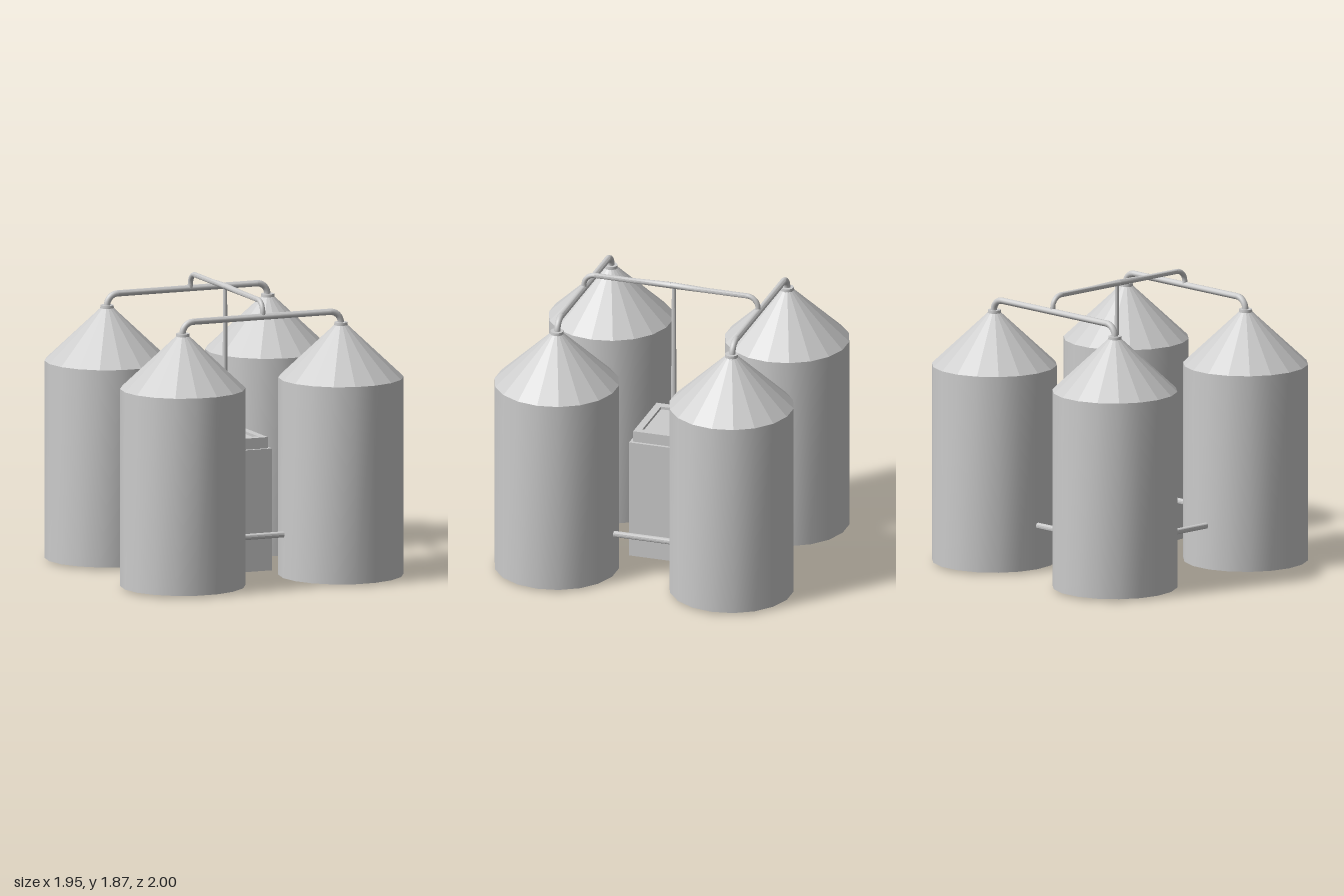
import * as THREE from 'three';
import { toCreasedNormals } from 'three/addons/utils/BufferGeometryUtils.js';

const smooth = new THREE.MeshStandardMaterial({ color: 0xcccccc });
const flat = new THREE.MeshStandardMaterial({ color: 0xcccccc, flatShading: true });

const V = (x, y, z) => new THREE.Vector3(x, y, z);

function add(parent, name, geometry, material = smooth) {
  const mesh = new THREE.Mesh(geometry, material);
  mesh.name = name;
  parent.add(mesh);
  return mesh;
}

// Box from its limits
function addBox(parent, name, x0, x1, y0, y1, z0, z1) {
  const g = new THREE.BoxGeometry(x1 - x0, y1 - y0, z1 - z0);
  add(parent, name, g).position.set((x0 + x1) / 2, (y0 + y1) / 2, (z0 + z1) / 2);
}

// Straight round bar between two points
function addBar(parent, name, a, b, r0, r1 = r0) {
  const g = toCreasedNormals(new THREE.CylinderGeometry(r1, r0, a.distanceTo(b), 12), 0.8);
  const mesh = add(parent, name, g);
  mesh.position.copy(a).add(b).multiplyScalar(0.5);
  mesh.quaternion.setFromUnitVectors(V(0, 1, 0), b.clone().sub(a).normalize());
}

// Bridge pipe: up from a, across with two rounded elbows, down to b
function addBridge(parent, name, a, b, y, bend, r) {
  const dir = b.clone().sub(a).setY(0).normalize();
  const topA = a.clone().setY(y), topB = b.clone().setY(y);
  const lowA = a.clone().setY(y - bend), lowB = b.clone().setY(y - bend);
  const inA = topA.clone().addScaledVector(dir, bend);
  const inB = topB.clone().addScaledVector(dir, -bend);
  const elbow = (p, corner, q) => new THREE.CubicBezierCurve3(
    p, p.clone().lerp(corner, 0.55), q.clone().lerp(corner, 0.55), q);
  const g = new THREE.Group();
  g.name = name;
  add(g, 'elbow', new THREE.TubeGeometry(elbow(lowA, topA, inA), 8, r, 12));
  add(g, 'elbow', new THREE.TubeGeometry(elbow(inB, topB, lowB), 8, r, 12));
  addBar(g, 'crossPipe', inA, inB, r);
  addBar(g, 'downPipe', a, lowA, r);
  addBar(g, 'downPipe', b, lowB, r);
  parent.add(g);
}

export function createModel() {
  const model = new THREE.Group();
  model.name = 'siloPlant';

  // Four silos: smooth wall, faceted conical roof, collar at the peak
  const R = 0.407, BASE = 0.015, EAVE = 1.31, PEAK = 1.655;
  const silos = [[-0.57, -0.6], [0.56, -0.595], [-0.55, 0.595], [0.565, 0.595]];
  const wallGeo = toCreasedNormals(
    new THREE.CylinderGeometry(R, R, EAVE - BASE, 18, 1, false, Math.PI / 2), 0.8);
  const roofGeo = new THREE.CylinderGeometry(0.04, R, PEAK - EAVE, 18, 1, false, Math.PI / 2);
  const collarGeo = toCreasedNormals(new THREE.CylinderGeometry(0.043, 0.045, 0.025, 12), 0.8);
  for (const [x, z] of silos) {
    const silo = new THREE.Group();
    silo.name = 'silo';
    silo.position.set(x, 0, z);
    add(silo, 'wall', wallGeo).position.y = (BASE + EAVE) / 2;
    add(silo, 'roof', roofGeo, flat).position.y = (EAVE + PEAK) / 2;
    add(silo, 'collar', collarGeo).position.y = PEAK + 0.003;
    model.add(silo);
  }

  // Top pipes joining each row of silos
  addBridge(model, 'rowPipeBack', V(-0.57, 1.65, -0.6), V(0.56, 1.65, -0.6), 1.742, 0.075, 0.021);
  addBridge(model, 'rowPipeFront', V(-0.55, 1.65, 0.592), V(0.565, 1.65, 0.592), 1.742, 0.075, 0.021);

  // Main pipe joining the two rows, with a thicker middle
  addBridge(model, 'mainPipe', V(0.015, 1.74, -0.595), V(0.015, 1.74, 0.592), 1.842, 0.075, 0.017);
  addBar(model, 'mainPipeTaperBack', V(0.015, 1.842, -0.25), V(0.015, 1.845, 0), 0.017, 0.021);
  addBar(model, 'mainPipeTaperFront', V(0.015, 1.842, 0.25), V(0.015, 1.845, 0), 0.017, 0.021);

  // Low pipes between neighbouring silos
  for (const s of [-1, 1]) {
    addBar(model, 'lowPipeAcross', V(-0.25, 0.302, s * 0.592), V(0.25, 0.302, s * 0.592), 0.02);
    addBar(model, 'lowPipeAlong', V(s * 0.597, 0.302, -0.25), V(s * 0.597, 0.302, 0.25), 0.02);
  }

  // Central housing with a stepped, shallowly recessed top
  addBox(model, 'housing', -0.278, 0.246, 0, 0.8, -0.243, 0.208);
  const rim = new THREE.Shape([[-0.257, -0.187], [0.225, -0.187], [0.225, 0.222], [-0.257, 0.222]]
    .map(p => new THREE.Vector2(...p)));
  rim.holes.push(new THREE.Path([[-0.204, -0.14], [-0.204, 0.178], [0.178, 0.178], [0.178, -0.14]]
    .map(p => new THREE.Vector2(...p))));
  const rimGeo = new THREE.ExtrudeGeometry(rim, { depth: 0.073, bevelEnabled: false });
  rimGeo.rotateX(-Math.PI / 2).translate(0, 0.8, 0);
  add(model, 'housingRim', rimGeo);
  addBox(model, 'housingLid', -0.204, 0.178, 0.8, 0.855, -0.178, 0.14);

  // Riser from the housing up to the main pipe
  addBar(model, 'riser', V(0.013, 0.84, -0.02), V(0.013, 1.84, -0.02), 0.02, 0.013);

  return model;
}
